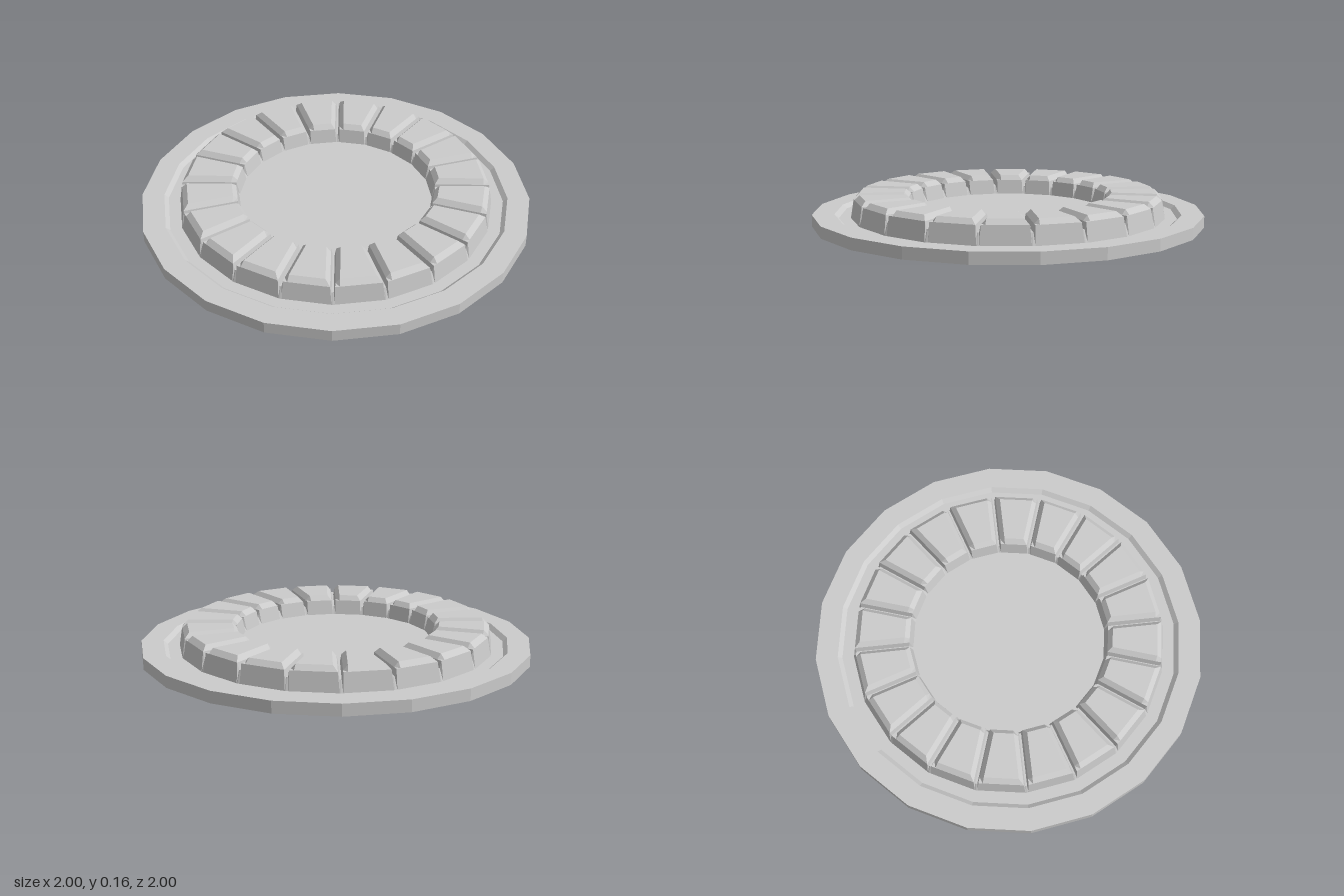
import * as THREE from 'three';

const SIDES = 20;
const HALF = Math.PI / SIDES;

const material = new THREE.MeshStandardMaterial({
  color: 0xcccccc, flatShading: true, side: THREE.DoubleSide,
});

// Faceted sheet turned from [radius, height] points
function turned(name, points) {
  const profile = points.map(([r, y]) => new THREE.Vector2(r, y));
  const mesh = new THREE.Mesh(new THREE.LatheGeometry(profile, SIDES), material);
  mesh.name = name;
  return mesh;
}

// Radial profiles [corner radius, height], from the outer foot to the inner foot
const gapFloor = [[0.805, 0.04], [0.785, 0.1], [0.76, 0.1], [0.54, 0.1], [0.515, 0.1], [0.497, 0.06]];
const shoulder = [[0.805, 0.04], [0.79, 0.135], [0.76, 0.135], [0.54, 0.135], [0.512, 0.135], [0.497, 0.06]];
const crown = [[0.805, 0.04], [0.79, 0.135], [0.765, 0.16], [0.535, 0.16], [0.512, 0.135], [0.497, 0.06]];

// Columns across one stone: distance from the gap's centre line, with its profile
const halfColumns = [
  { inset: 0, profile: gapFloor },
  { inset: 0.005, profile: gapFloor },
  { inset: 0.012, profile: shoulder },
  { inset: 0.034, profile: crown },
];
const columns = [
  ...halfColumns.map((c) => ({ ...c, side: -1 })),
  ...halfColumns.slice().reverse().map((c) => ({ ...c, side: 1 })),
];

// One hollow bevelled stone with half a gap on either side, facing +z
function stoneGeometry() {
  const positions = [];
  const index = [];
  const rows = gapFloor.length;
  for (const { inset, profile, side } of columns) {
    for (const [r, y] of profile) {
      positions.push(side * (r * Math.sin(HALF) - inset), y, r * Math.cos(HALF));
    }
  }
  for (let c = 0; c < columns.length - 1; c++) {
    for (let i = 0; i < rows - 1; i++) {
      const a = c * rows + i;
      const b = a + rows;
      index.push(a, b, a + 1, b, b + 1, a + 1);
    }
  }
  const geometry = new THREE.BufferGeometry();
  geometry.setAttribute('position', new THREE.Float32BufferAttribute(positions, 3));
  geometry.setIndex(index);
  geometry.computeVertexNormals();
  return geometry;
}

export function createModel() {
  const model = new THREE.Group();
  model.name = 'stoneRing';

  // Outer rim with a small step down to the channel around the stones
  model.add(turned('rim', [[1, 0], [1, 0.06], [0.887, 0.06], [0.865, 0.04], [0.805, 0.04]]));

  // Flat floor inside the ring
  model.add(turned('floor', [[0.497, 0.06], [0, 0.06]]));

  // Ring of stones
  const stones = new THREE.Group();
  stones.name = 'stones';
  const geometry = stoneGeometry();
  for (let i = 0; i < SIDES; i++) {
    const stone = new THREE.Mesh(geometry, material);
    stone.name = 'stone';
    stone.rotation.y = (2 * i + 1) * HALF;
    stones.add(stone);
  }
  model.add(stones);
  return model;
}
